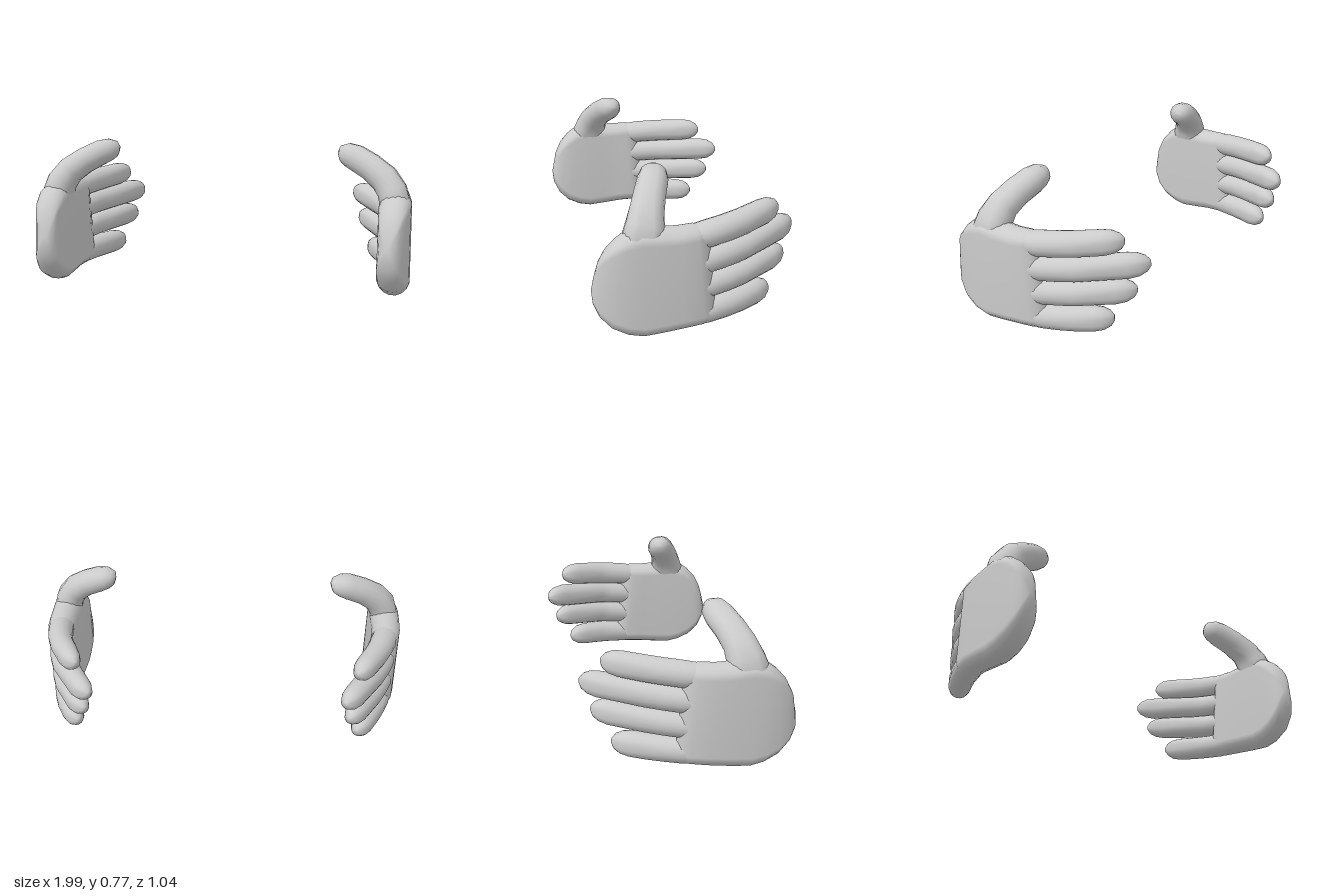
import * as THREE from 'three';

const SIDES = 16;
const material = new THREE.MeshStandardMaterial({ color: 0xcccccc });

// Smooth closed skin over rings; each ring is { c: centre, h: half height, w: half width }.
// A ring taller than wide becomes a stadium with straight flanks.
function loft(name, rings, up) {
  const pos = [], index = [], n = rings.length;
  rings.forEach(({ c, h, w }, i) => {
    const a = rings[Math.max(i - 1, 0)].c, b = rings[Math.min(i + 1, n - 1)].c;
    const t = b.clone().sub(a).normalize();
    const u = up.clone().addScaledVector(t, -up.dot(t)).normalize();
    const s = new THREE.Vector3().crossVectors(t, u);
    const r = Math.min(h, w);
    for (let j = 0; j < SIDES; j++) {
      const ang = (j + 0.5) / SIDES * Math.PI * 2;
      const cos = Math.cos(ang);
      const p = c.clone()
        .addScaledVector(u, cos * r + Math.sign(cos) * (h - r))
        .addScaledVector(s, Math.sin(ang) * w);
      pos.push(p.x, p.y, p.z);
    }
  });
  const first = n * SIDES, last = first + 1;
  pos.push(...rings[0].c.toArray(), ...rings[n - 1].c.toArray());
  for (let j = 0; j < SIDES; j++) {
    const k = (j + 1) % SIDES;
    for (let i = 0; i < n - 1; i++) {
      const a = i * SIDES, b = a + SIDES;
      index.push(a + j, a + k, b + j, a + k, b + k, b + j);
    }
    index.push(first, k, j, last, (n - 1) * SIDES + j, (n - 1) * SIDES + k);
  }
  const geo = new THREE.BufferGeometry();
  geo.setAttribute('position', new THREE.Float32BufferAttribute(pos, 3));
  geo.setIndex(index);
  geo.computeVertexNormals();
  const mesh = new THREE.Mesh(geo, material);
  mesh.name = name;
  return mesh;
}

// Palm outline from heel to knuckles: z, top, bottom, half thickness
const PALM = [
  [0.512, 0.33, 0.24, 0.02], [0.5, 0.39, 0.175, 0.045], [0.47, 0.45, 0.11, 0.062],
  [0.42, 0.5, 0.053, 0.075], [0.36, 0.535, 0.018, 0.082], [0.29, 0.555, 0.004, 0.084],
  [0.2, 0.548, 0.012, 0.083], [0.1, 0.545, 0.024, 0.08], [0.02, 0.55, 0.031, 0.077],
  [-0.02, 0.545, 0.045, 0.062], [-0.045, 0.53, 0.065, 0.03],
];

// Fingers: name, root height, tip height, tip z, radius
const FINGERS = [
  ['indexFinger', 0.487, 0.548, -0.415, 0.066],
  ['middleFinger', 0.36, 0.43, -0.512, 0.067],
  ['ringFinger', 0.23, 0.292, -0.463, 0.066],
  ['littleFinger', 0.098, 0.134, -0.372, 0.067],
];

// Thumb: x, y, z, radius along z, radius across
const THUMB = [
  [0.91, 0.4, 0.29, 0.07, 0.06], [0.91, 0.48, 0.283, 0.105, 0.078],
  [0.893, 0.545, 0.268, 0.094, 0.077], [0.85, 0.607, 0.25, 0.083, 0.074],
  [0.78, 0.66, 0.222, 0.078, 0.07], [0.7, 0.704, 0.19, 0.075, 0.068],
  [0.655, 0.719, 0.178, 0.066, 0.06], [0.622, 0.722, 0.17, 0.045, 0.042],
  [0.61, 0.72, 0.168, 0.018, 0.016],
];

function makeHand({ name, side, curl, power, heel, drop, shorten, thumbReach }) {
  const hand = new THREE.Group();
  hand.name = name;
  const yAxis = new THREE.Vector3(0, 1, 0), zAxis = new THREE.Vector3(0, 0, 1);
  // The whole hand follows one curve that closes inwards toward the fingertips
  const at = (y, z) => new THREE.Vector3(side * (0.912
    - curl * Math.pow(Math.max(0, 0.15 - z), power)
    - heel * Math.pow(Math.max(0, z - 0.3), 2)), y, z);

  hand.add(loft('palm', PALM.map(([z, top, bottom, w]) =>
    ({ c: at((top + bottom) / 2, z), h: (top - bottom) / 2, w })), yAxis));

  for (const [finger, rootY, tipY, tipZ, r] of FINGERS) {
    const end = tipZ + shorten;
    const stations = [
      [0.11, 0.7], [0.05, 0.92], [-0.03, 1], [-0.12, 1], [-0.2, 1],
      [end + 0.085, 0.98], [end + 0.045, 0.87], [end + 0.016, 0.6], [end, 0.22],
    ];
    hand.add(loft(finger, stations.map(([z, k]) => {
      const y = rootY + (tipY - drop - rootY) * z / end;
      const slim = 1.08 - 0.25 * Math.max(0, z / end);
      return { c: at(y, z), h: r * k, w: r * k * slim };
    }), yAxis));
  }

  hand.add(loft('thumb', THUMB.map(([x, y, z, h, w]) => ({
    c: new THREE.Vector3(side * (x - thumbReach * (0.91 - x)), y, z), h, w,
  })), zAxis));
  return hand;
}

export function createModel() {
  const model = new THREE.Group();
  model.name = 'pairOfHands';
  model.add(
    makeHand({ name: 'leftHand', side: 1, curl: 0.65, power: 2.3, heel: 0.8, drop: 0, shorten: 0, thumbReach: 0 }),
    makeHand({ name: 'rightHand', side: -1, curl: 0.54, power: 1.7, heel: 0.2, drop: 0.02, shorten: 0.02, thumbReach: 0.06 }),
  );
  return model;
}
